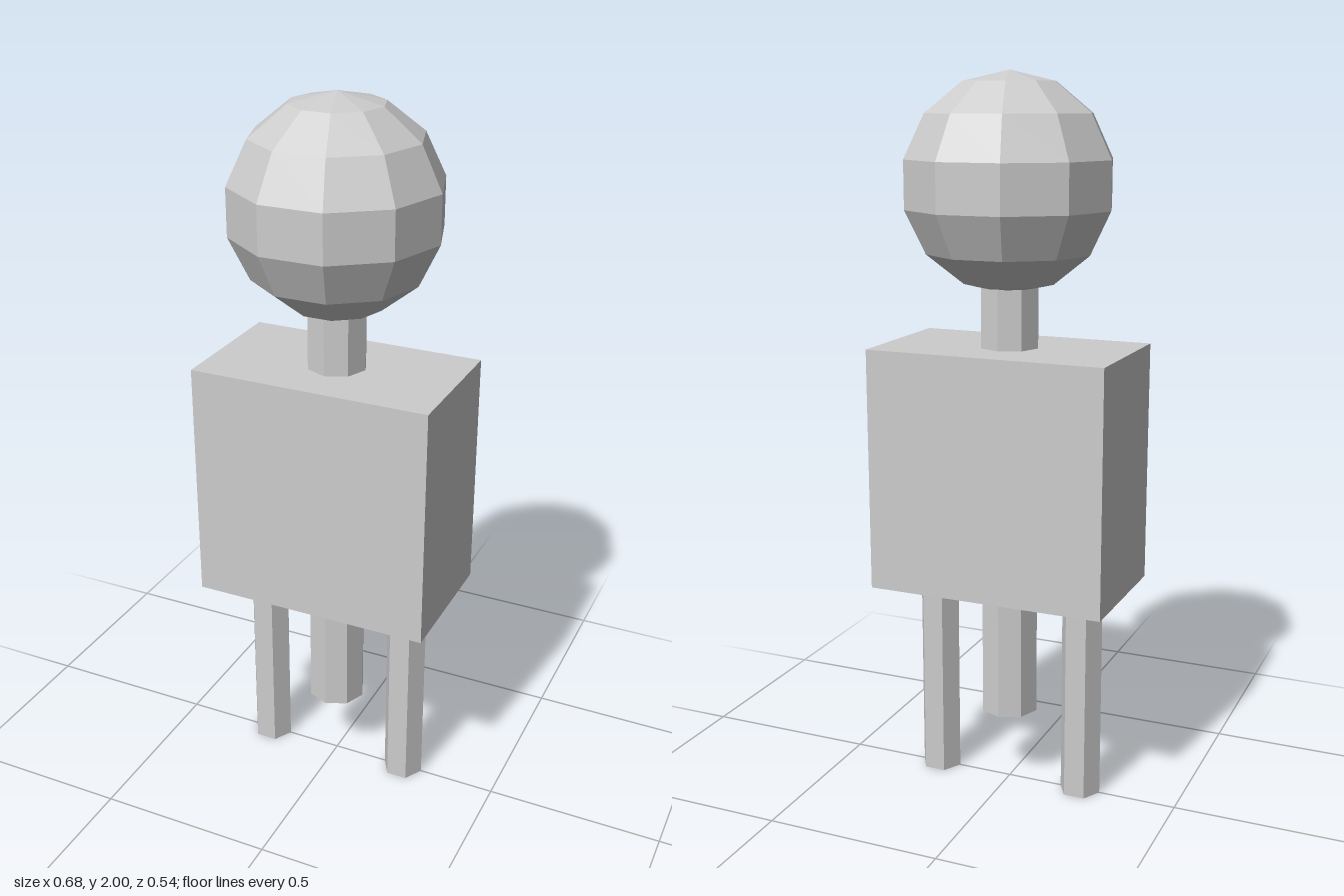
import * as THREE from 'three';

export function createModel() {
  const model = new THREE.Group();
  const grey = new THREE.MeshStandardMaterial({ color: 0xcccccc, flatShading: true });
  grey.name = 'light grey';

  const add = (name, geometry, x, y) => {
    const mesh = new THREE.Mesh(geometry, grey);
    mesh.name = name;
    mesh.position.set(x, y, 0);
    model.add(mesh);
    return mesh;
  };

  // Faceted ball head
  add('head', new THREE.SphereGeometry(0.29, 10, 7), 0, 1.71);

  // Box torso
  add('torso', new THREE.BoxGeometry(0.675, 0.675, 0.388), 0, 0.9375);

  // Eight-sided neck above the torso and stub of the same width below it
  const post = (name, bottom, top) =>
    add(name, new THREE.CylinderGeometry(0.083, 0.083, top - bottom, 8), 0, (bottom + top) / 2);
  post('neck', 1.25, 1.48);
  post('lowerStub', 0.22, 0.62);

  // Six-sided legs, with corners pointing sideways
  for (const side of [-1, 1]) {
    const leg = new THREE.CylinderGeometry(0.059, 0.059, 0.62, 6);
    leg.rotateY(Math.PI / 6);
    add(side > 0 ? 'leftLeg' : 'rightLeg', leg, side * 0.219, 0.31);
  }

  return model;
}
